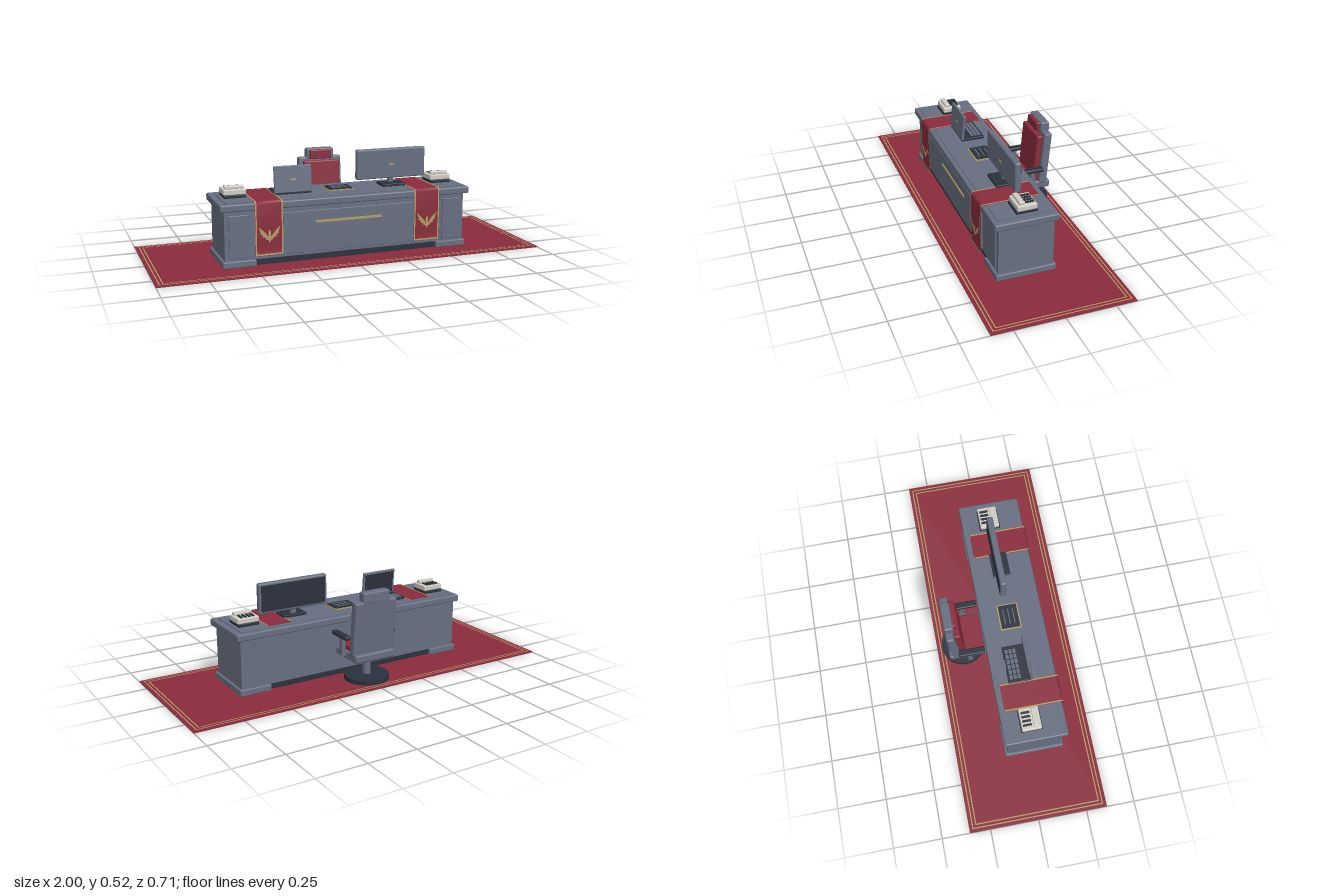
import * as THREE from 'three';
import { RoundedBoxGeometry } from 'three/addons/geometries/RoundedBoxGeometry.js';

const mat = (name, color, side = THREE.FrontSide) => {
  const m = new THREE.MeshStandardMaterial({ color, side });
  m.name = name;
  return m;
};

export function createModel() {
  const slate = mat('slate', 0x666e80);
  const dark = mat('charcoal', 0x2b313d);
  const red = mat('crimson', 0x8a2c3c, THREE.DoubleSide);
  const gold = mat('gold', 0xb29b62, THREE.DoubleSide);
  const ivory = mat('ivory', 0xd0cdc4);
  const model = new THREE.Group();
  model.name = 'officeDesk';

  const group = (name, parent = model) => {
    const g = new THREE.Group();
    g.name = name;
    parent.add(g);
    return g;
  };
  const add = (parent, name, geo, material, x = 0, y = 0, z = 0) => {
    const m = new THREE.Mesh(geo, material);
    m.name = name;
    m.position.set(x, y, z);
    parent.add(m);
    return m;
  };
  // Box given by its limits on each axis; r rounds the edges
  const box = (parent, name, material, [x0, x1], [y0, y1], [z0, z1], r = 0) => {
    const s = [x1 - x0, y1 - y0, z1 - z0];
    const geo = r ? new RoundedBoxGeometry(...s, 2, r) : new THREE.BoxGeometry(...s);
    return add(parent, name, geo, material, (x0 + x1) / 2, (y0 + y1) / 2, (z0 + z1) / 2);
  };
  // Flat rectangular outline, lying in the xy plane
  const frame = (w, h, t) => {
    const rect = (P, a, b) => new P().moveTo(-a, -b).lineTo(a, -b).lineTo(a, b).lineTo(-a, b).closePath();
    const s = rect(THREE.Shape, w / 2, h / 2);
    s.holes.push(rect(THREE.Path, w / 2 - t, h / 2 - t));
    return new THREE.ShapeGeometry(s);
  };

  // Rug with a double border
  const rug = group('rug');
  box(rug, 'rugCloth', red, [-1, 1], [0, 0.005], [-0.357, 0.357]);
  for (const inset of [0.016, 0.034])
    add(rug, 'rugBorder', frame(2 - 2 * inset, 0.714 - 2 * inset, 0.006), gold, 0, 0.0065, 0).rotation.x = -Math.PI / 2;

  // Desk carcass, plinths and top
  const desk = group('desk');
  box(desk, 'body', slate, [-0.64, 0.64], [0.037, 0.288], [-0.093, 0.187]);
  box(desk, 'kickboard', dark, [-0.5, 0.5], [0.005, 0.037], [-0.085, 0.18]);
  box(desk, 'top', slate, [-0.662, 0.662], [0.287, 0.323], [-0.11, 0.21], 0.007);
  box(desk, 'topInlay', slate, [-0.63, 0.63], [0.322, 0.327], [-0.09, 0.187]);
  box(desk, 'frontPanel', slate, [-0.43, 0.43], [0.05, 0.262], [0.187, 0.196], 0.003);
  box(desk, 'frontTrim', gold, [-0.18, 0.175], [0.198, 0.21], [0.196, 0.201]);
  for (const s of [-1, 1]) {
    const p = group('pedestal', desk);
    p.position.x = s * 0.568;
    box(p, 'plinth', slate, [-0.084, 0.084], [0.005, 0.038], [-0.105, 0.2], 0.005);
    box(p, 'pedestalPanel', slate, [-0.05, 0.05], [0.05, 0.265], [0.187, 0.195], 0.003);
  }

  // Cloth ribbon: a side profile of [z, y] points swept along x
  const profile = [[-0.08, 0.331], [0.2, 0.331], [0.211, 0.329], [0.217, 0.318], [0.22, 0.2], [0.217, 0.12], [0.216, 0.085], [0.219, 0.06]];
  const ribbon = (w, lift = 0, pts = profile) => {
    const pos = [], idx = [];
    pts.forEach(([z, y], i) => {
      pos.push(-w / 2, y + lift, z + lift, w / 2, y + lift, z + lift);
      const a = 2 * i;
      if (i) idx.push(a - 2, a, a - 1, a - 1, a, a + 1);
    });
    const g = new THREE.BufferGeometry();
    g.setAttribute('position', new THREE.Float32BufferAttribute(pos, 3));
    g.setIndex(idx);
    g.computeVertexNormals();
    return g;
  };
  // Plain feather ornament: one half, mirrored
  const half = [[0.004, -0.03], [0.02, -0.026], [0.018, -0.019], [0.036, -0.013], [0.033, -0.006], [0.048, 0.004],
    [0.045, 0.01], [0.056, 0.04], [0.036, 0.022], [0.022, 0.008], [0.011, -0.008]];
  const shape = (pts) => new THREE.ShapeGeometry(new THREE.Shape(pts.map(([x, y]) => new THREE.Vector2(x, y))));
  for (const x of [-0.424, 0.416]) {
    const b = group('banner');
    b.position.x = x;
    add(b, 'bannerCloth', ribbon(0.142), red);
    for (const s of [-1, 1]) {
      add(b, 'bannerEdge', ribbon(0.007, 0.0015), gold, s * 0.066);
      add(b, 'feathers', shape(half.map(([u, v]) => [s * u, v])), gold, 0, 0.168, 0.2235);
    }
    add(b, 'bannerHem', ribbon(0.139, 0.0015, [[0.2185, 0.068], [0.219, 0.06]]), gold);
    add(b, 'ornamentStem', shape([[0, -0.045], [0.009, -0.025], [0.006, 0.01], [0, 0.024], [-0.006, 0.01], [-0.009, -0.025]]), gold, 0, 0.168, 0.224);
  }

  // Desk telephones
  for (const x of [-0.558, 0.556]) {
    const t = group('telephone');
    t.position.x = x;
    box(t, 'phoneBase', dark, [-0.055, 0.055], [0.327, 0.343], [-0.02, 0.088], 0.003);
    box(t, 'phoneBody', ivory, [-0.057, 0.057], [0.342, 0.37], [-0.016, 0.083], 0.005);
    box(t, 'handset', ivory, [-0.048, 0.048], [0.369, 0.386], [0.045, 0.071], 0.005);
    for (let i = 0; i < 4; i++)
      box(t, 'phoneKey', dark, [-0.037 + i * 0.021, -0.026 + i * 0.021], [0.37, 0.375], [-0.008, 0.036]);
  }

  // Laptop, its screen facing the chair
  const laptop = group('laptop');
  laptop.position.x = -0.26;
  box(laptop, 'laptopBase', dark, [-0.097, 0.097], [0.327, 0.341], [-0.033, 0.09], 0.003);
  for (let r = 0; r < 3; r++)
    for (let c = 0; c < 6; c++)
      box(laptop, 'laptopKey', slate, [-0.08 + c * 0.027, -0.058 + c * 0.027], [0.341, 0.344], [-0.022 + r * 0.02, -0.007 + r * 0.02]);
  box(laptop, 'laptopRest', slate, [-0.027, 0.027], [0.339, 0.343], [-0.06, -0.03]);
  const lid = group('laptopLid', laptop);
  lid.position.set(0, 0.335, 0.086);
  lid.rotation.x = -0.1;
  box(lid, 'lidShell', slate, [-0.098, 0.098], [0, 0.136], [-0.007, 0.007], 0.004);
  box(lid, 'laptopScreen', dark, [-0.088, 0.088], [0.012, 0.126], [-0.009, -0.006]);
  box(lid, 'lidBadge', gold, [-0.015, 0.015], [0.063, 0.07], [0.006, 0.009]);

  // Monitor on a stand
  const monitor = group('monitor');
  monitor.position.x = 0.29;
  box(monitor, 'monitorFoot', dark, [-0.065, 0.065], [0.327, 0.341], [0, 0.09], 0.003);
  box(monitor, 'monitorNeck', slate, [-0.013, 0.013], [0.338, 0.38], [0.018, 0.038]);
  box(monitor, 'monitorShell', slate, [-0.192, 0.192], [0.362, 0.519], [0.013, 0.045], 0.008);
  box(monitor, 'monitorScreen', dark, [-0.18, 0.18], [0.374, 0.507], [0.01, 0.014]);
  box(monitor, 'monitorBadge', gold, [-0.015, 0.015], [0.431, 0.439], [0.044, 0.048]);

  // Central control pad with a gilt rim
  const pad = group('controlPad');
  box(pad, 'padRim', gold, [-0.073, 0.065], [0.327, 0.332], [-0.017, 0.091]);
  box(pad, 'padFace', dark, [-0.066, 0.058], [0.327, 0.337], [-0.01, 0.084]);
  for (let i = 0; i < 3; i++)
    box(pad, 'padLine', slate, [-0.045, 0.037], [0.337, 0.339], [0.009 + i * 0.025, 0.014 + i * 0.025]);

  // Swivel chair
  const chair = group('chair');
  add(chair, 'chairDisc', new THREE.CylinderGeometry(0.115, 0.115, 0.024, 32), dark, 0, 0.024, -0.214);
  add(chair, 'chairColumn', new THREE.CylinderGeometry(0.021, 0.021, 0.1, 20), slate, 0, 0.085, -0.214);
  box(chair, 'seat', slate, [-0.115, 0.115], [0.13, 0.171], [-0.298, -0.103], 0.009);
  box(chair, 'seatCushion', red, [-0.1, 0.1], [0.165, 0.196], [-0.245, -0.109], 0.008);
  box(chair, 'backrest', slate, [-0.12, 0.12], [0.16, 0.444], [-0.291, -0.249], 0.01).rotation.x = -0.09;
  box(chair, 'backCushion', red, [-0.1, 0.1], [0.172, 0.427], [-0.251, -0.219], 0.008).rotation.x = -0.08;
  box(chair, 'headrest', slate, [-0.076, 0.076], [0.43, 0.49], [-0.304, -0.257], 0.009);
  box(chair, 'headCushion', red, [-0.06, 0.06], [0.434, 0.484], [-0.264, -0.24], 0.006);
  for (const s of [-1, 1]) {
    const arm = group('armrest', chair);
    arm.position.x = s * 0.13;
    box(arm, 'armPad', dark, [-0.018, 0.018], [0.243, 0.263], [-0.25, -0.114], 0.006);
    box(arm, 'armPost', slate, [-0.011, 0.011], [0.16, 0.245], [-0.205, -0.181], 0.003);
    box(arm, 'armBracket', slate, [-0.02, 0.011].map((v) => (s > 0 ? v : -v)).sort((a, b) => a - b), [0.15, 0.168], [-0.205, -0.181]);
  }
  return model;
}
